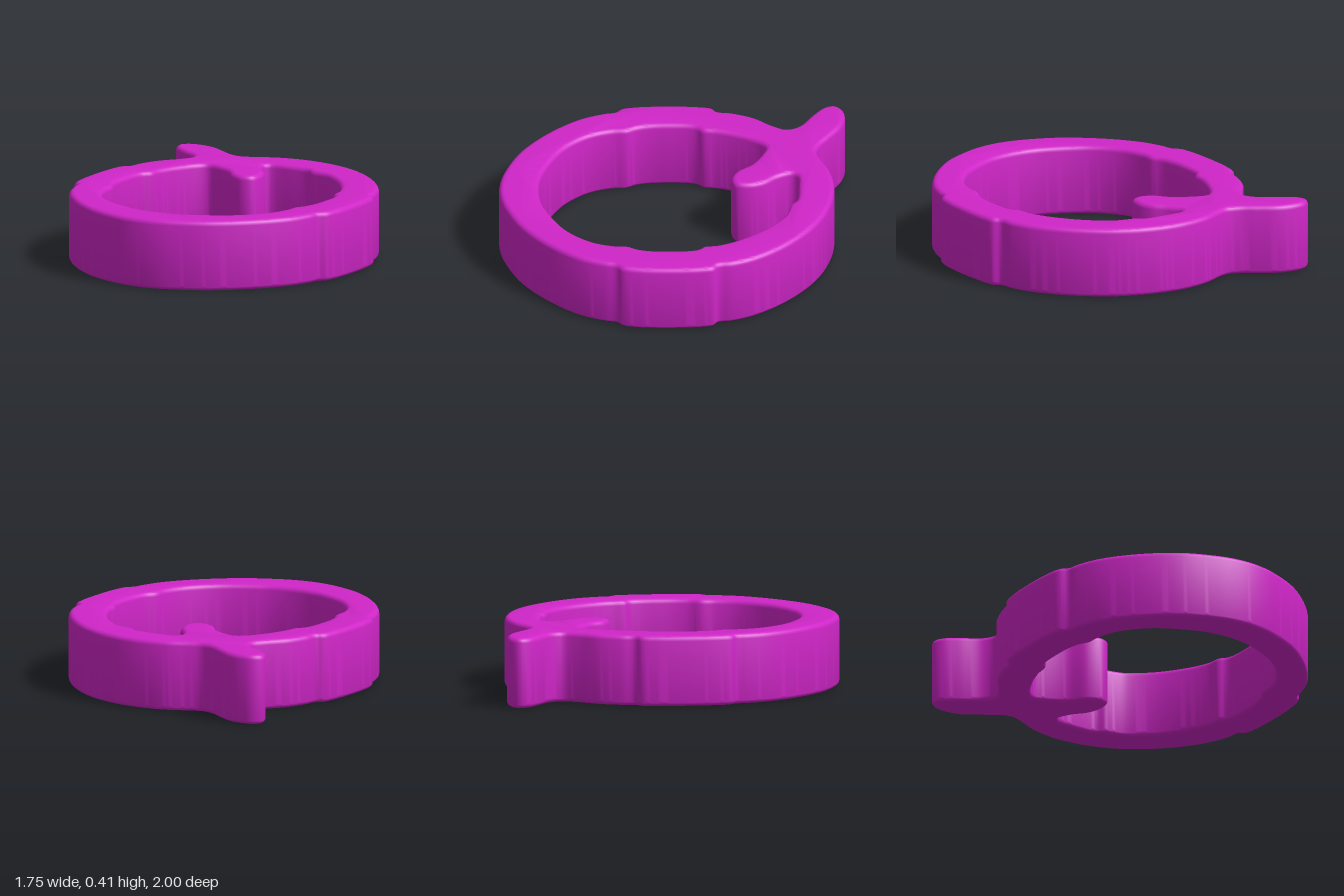
import * as THREE from 'three';
import { mergeVertices, toCreasedNormals } from 'three/addons/utils/BufferGeometryUtils.js';

const HEIGHT = 0.41;
const BEVEL = 0.03;

// Smooth closed outline through [x, z] points, sampled as 2D points for extrusion
function smoothLoop(points, samples) {
  const curve = new THREE.CatmullRomCurve3(
    points.map(([x, z]) => new THREE.Vector3(x, -z, 0)), true, 'centripetal');
  return curve.getSpacedPoints(samples).slice(0, -1).map(p => new THREE.Vector2(p.x, p.y));
}

// Mirror a left half, leaving out its point on the centre line
const mirrorHalf = half => half.slice(1).reverse().map(([x, z]) => [-x, z]);

export function createModel() {
  const group = new THREE.Group();
  group.name = 'fruitCutter';

  // Outer wall: front centre, up the left side past the raised side pad
  const outerHalf = [
    [0, 1], [-0.1, 0.991], [-0.2, 0.965], [-0.4, 0.875], [-0.6, 0.71], [-0.74, 0.53],
    [-0.797, 0.39], [-0.812, 0.325], [-0.845, 0.293], [-0.866, 0.2], [-0.873, 0.1],
    [-0.873, -0.04], [-0.866, -0.15], [-0.848, -0.235], [-0.813, -0.263], [-0.8, -0.34],
  ];
  // Outer side of the leaf, then the rounded back
  const outerBack = [
    [-0.75, -0.47], [-0.66, -0.59], [-0.625, -0.665], [-0.66, -0.735], [-0.78, -0.815],
    [-0.855, -0.88], [-0.872, -0.94], [-0.83, -0.987], [-0.75, -1], [-0.65, -0.978],
    [-0.54, -0.91], [-0.46, -0.857], [-0.39, -0.835], [-0.32, -0.855], [-0.19, -0.91],
    [0, -0.935], [0.2, -0.905], [0.4, -0.82], [0.6, -0.66], [0.74, -0.48],
  ];

  // Inner wall: same order as the outer wall
  const innerHalf = [
    [0, 0.77], [-0.1, 0.762], [-0.2, 0.735], [-0.42, 0.62], [-0.55, 0.475], [-0.597, 0.345],
    [-0.604, 0.26], [-0.635, 0.2], [-0.652, 0.12], [-0.656, 0.03], [-0.652, -0.09],
    [-0.638, -0.145], [-0.608, -0.18], [-0.595, -0.26],
  ];
  // Inner end of the leaf, then the back of the opening with its small step
  const innerBack = [
    [-0.55, -0.39], [-0.485, -0.505], [-0.435, -0.54], [-0.37, -0.522], [-0.26, -0.46],
    [-0.18, -0.37], [-0.1, -0.34], [-0.04, -0.365], [-0.026, -0.44], [-0.055, -0.53],
    [-0.12, -0.61], [-0.155, -0.69], [-0.135, -0.722], [0, -0.727], [0.125, -0.715],
    [0.165, -0.683], [0.23, -0.667], [0.29, -0.645], [0.42, -0.54], [0.54, -0.38],
  ];

  const shape = new THREE.Shape(
    smoothLoop([...outerHalf, ...outerBack, ...mirrorHalf(outerHalf)], 360));
  // The opening runs the other way round, so its wall faces inward
  shape.holes.push(new THREE.Path(
    smoothLoop([...innerHalf, ...innerBack, ...mirrorHalf(innerHalf)], 320).reverse()));

  // Upright wall with rounded rims
  let geometry = new THREE.ExtrudeGeometry(shape, {
    depth: HEIGHT - 2 * BEVEL, bevelEnabled: true, bevelThickness: BEVEL,
    bevelSize: BEVEL, bevelOffset: -BEVEL, bevelSegments: 5,
  });
  geometry.translate(0, 0, BEVEL);
  geometry.rotateX(-Math.PI / 2);
  geometry.deleteAttribute('uv');
  geometry.deleteAttribute('normal');
  geometry = toCreasedNormals(mergeVertices(geometry, 1e-5), 0.7);

  const ring = new THREE.Mesh(geometry, new THREE.MeshStandardMaterial({ color: 0xd026c8 }));
  ring.name = 'ringWithLeaf';
  group.add(ring);
  return group;
}
